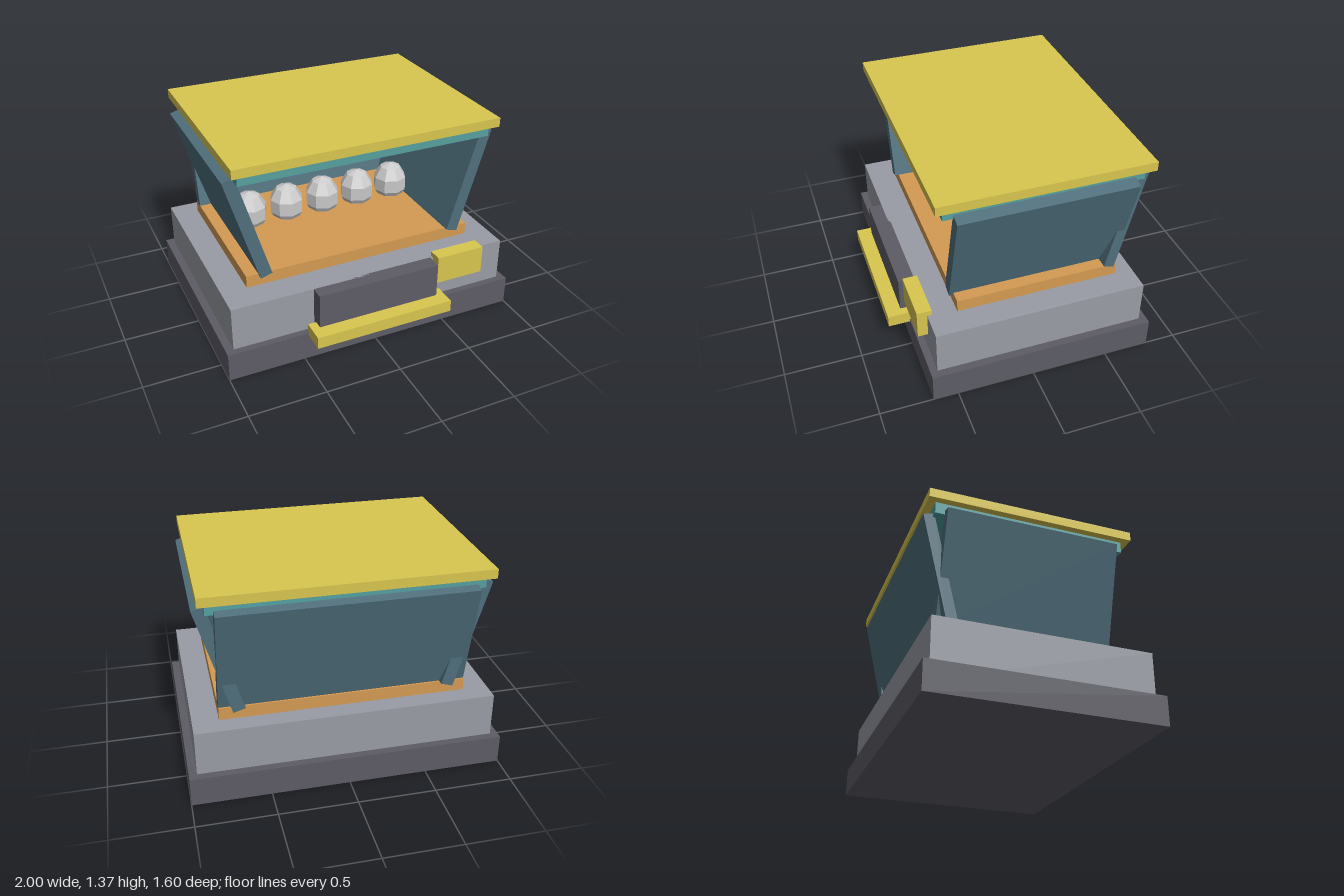
import * as THREE from 'three';

const mat = (color) => new THREE.MeshStandardMaterial({ color, flatShading: true });

export function createModel() {
  const model = new THREE.Group();
  const dark = mat(0x5d5c66), stone = mat(0x999ca4), wood = mat(0xd49a52);
  const slate = mat(0x4f6f7c), teal = mat(0x56a0a0), yellow = mat(0xd9c64f);
  const red = mat(0xd86a6a), grey = mat(0xcccccc);

  const add = (name, geometry, material, x, y, z) => {
    const mesh = new THREE.Mesh(geometry, material);
    mesh.name = name;
    mesh.position.set(x, y, z);
    model.add(mesh);
    return mesh;
  };
  // Box given by its lower and upper limits on each axis
  const block = (name, material, [x0, x1], [y0, y1], [z0, z1]) =>
    add(name, new THREE.BoxGeometry(x1 - x0, y1 - y0, z1 - z0), material,
      (x0 + x1) / 2, (y0 + y1) / 2, (z0 + z1) / 2);

  // Stepped base
  block('base', dark, [-1, 1], [0, 0.19], [-0.8, 0.66]);
  block('plinth', stone, [-0.95, 0.95], [0.1, 0.48], [-0.75, 0.615]);
  block('tray', wood, [-0.785, 0.785], [0.48, 0.56], [-0.63, 0.43]);

  // Front fittings
  block('frontPanel', dark, [-0.415, 0.415], [0.13, 0.48], [0.6, 0.705]);
  block('frontLedge', yellow, [-0.47, 0.47], [0.17, 0.25], [0.645, 0.8]);
  block('frontBox', yellow, [0.43, 0.765], [0.325, 0.515], [0.585, 0.68]);

  // Walls leaning outward
  for (const side of [-1, 1]) {
    const wall = add(side > 0 ? 'leftWall' : 'rightWall',
      new THREE.BoxGeometry(0.08, 0.732, 1.115), slate, side * 0.764, 0.9, -0.1025);
    wall.rotation.z = -side * 0.287;
  }
  const back = add('backWall', new THREE.BoxGeometry(1.57, 0.724, 0.07), slate, 0, 0.9025, -0.6625);
  back.rotation.x = -0.23;

  // Roof
  block('roofFrame', teal, [-0.835, 0.835], [1.235, 1.31], [-0.72, 0.52]);
  block('roof', yellow, [-0.88, 0.88], [1.31, 1.37], [-0.77, 0.57]);

  // Eight-sided bar under the roof
  const bar = new THREE.CylinderGeometry(0.08, 0.08, 1.43, 8).rotateZ(Math.PI / 2);
  add('bar', bar, red, 0, 1.155, -0.52);

  // Row of faceted eggs
  for (let i = -2; i <= 2; i++) {
    const egg = add('egg', new THREE.SphereGeometry(0.122, 8, 5), grey, i * 0.267, 0.64, -0.2);
    egg.scale.y = 1.23;
  }
  return model;
}
